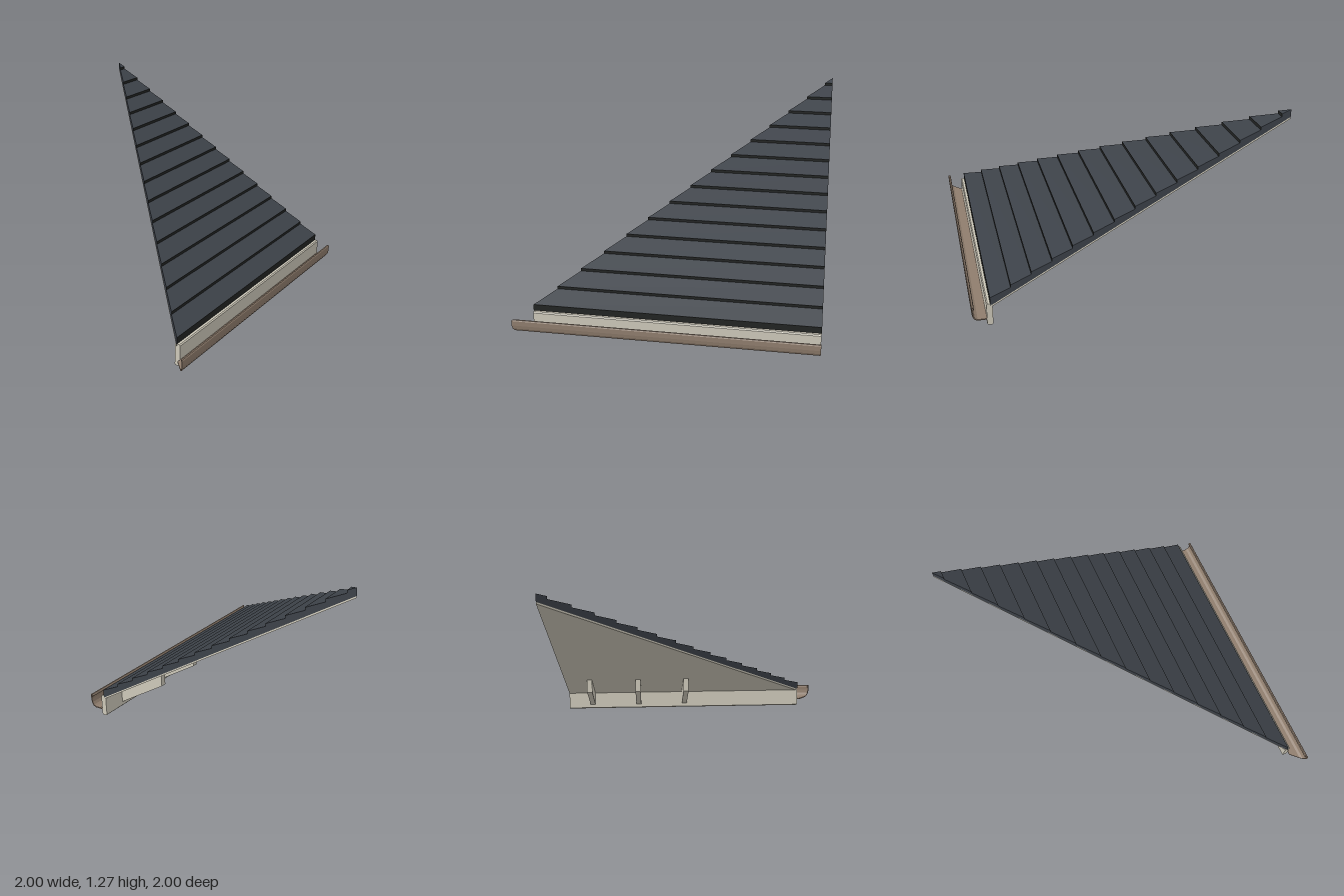
import * as THREE from 'three';

const EAVE = 0.88, RIDGE = -1, EAVE_Y = 0.125, PITCH = 0.577;
const underside = (z) => EAVE_Y + PITCH * (EAVE - z);

// Extrudes a [z, y] profile along x; a mitred left end follows the hip line x = -z.
function run(profile, left, right, mitred = false) {
  const shape = new THREE.Shape(profile.map(([z, y]) => new THREE.Vector2(-z, y)));
  const geo = new THREE.ExtrudeGeometry(shape, { depth: 1, bevelEnabled: false });
  geo.rotateY(Math.PI / 2);
  const p = geo.attributes.position;
  for (let i = 0; i < p.count; i++) {
    const start = mitred ? -p.getZ(i) : left;
    p.setX(i, p.getX(i) < 0.5 ? start : right);
  }
  geo.computeVertexNormals();
  return geo;
}

export function createModel() {
  const model = new THREE.Group();
  model.name = 'hipRoofCorner';
  const material = (name, color) => new THREE.MeshStandardMaterial({ name, color });
  const slate = material('slate', 0x3c4148);
  const darkEdge = material('darkEdge', 0x222423);
  const cream = material('creamPaint', 0xcdc8b9);
  const brown = material('gutterBrown', 0x8f7d6d);
  const add = (parent, name, geo, mat) => {
    const mesh = new THREE.Mesh(geo, mat);
    mesh.name = name;
    parent.add(mesh);
  };

  // Deck under the shingles
  const deck = 0.012;
  add(model, 'deck', run([
    [EAVE, underside(EAVE)], [RIDGE, underside(RIDGE)],
    [RIDGE, underside(RIDGE) + deck], [EAVE, underside(EAVE) + deck],
  ], 0, 1, true), cream);

  // Overlapping shingle courses, each with a dark front edge
  const courses = new THREE.Group();
  courses.name = 'shingleCourses';
  model.add(courses);
  const step = 0.1303, rise = step * PITCH, tilt = 0.44;
  for (let i = 0; i < 15; i++) {
    const z0 = EAVE - i * step;
    const z1 = Math.max(z0 - step, RIDGE);
    const top = 0.194 + i * rise;
    const topBack = top + tilt * (z0 - z1);
    const b0 = underside(z0) + deck, b1 = underside(z1) + deck;
    add(courses, 'shingleCourse', run([[z0, b0], [z1, b1], [z1, topBack], [z0, top]], 0, 1, true), slate);
    const low = i === 0 ? b0 : top - rise + tilt * step - 0.002;
    add(courses, 'shingleFrontEdge', run([
      [z0 + 0.003, low], [z0, low], [z0, top], [z0 + 0.003, top],
    ], 0, 1, true), darkEdge);
  }

  // Fascia board with eased corners
  const f0 = 0.868, f1 = 0.906, h = 0.15, c = 0.007;
  add(model, 'fascia', run([
    [f0 + c, 0], [f1 - c, 0], [f1, c], [f1, h - c],
    [f1 - c, h], [f0 + c, h], [f0, h - c], [f0, c],
  ], -0.88, 1), cream);

  // Rafter tails
  for (const x of [0.81, 0.435, 0.06]) {
    add(model, 'rafterTail', run([
      [0.87, 0.031], [0.51, 0.239], [0.51, underside(0.51)], [0.87, underside(0.87)],
    ], x - 0.02, x + 0.02), cream);
  }

  // Open gutter with a curled front lip, mitred at the hip end
  add(model, 'gutter', run([
    [0.905, 0.04], [0.966, 0.04], [0.984, 0.05], [0.996, 0.07], [1, 0.095], [1, 0.128],
    [0.996, 0.135], [0.987, 0.135], [0.983, 0.128], [0.983, 0.118], [0.988, 0.118],
    [0.989, 0.128], [0.994, 0.128], [0.994, 0.096], [0.99, 0.073], [0.98, 0.056],
    [0.964, 0.047], [0.905, 0.047],
  ], 0, 1, true), brown);

  return model;
}
